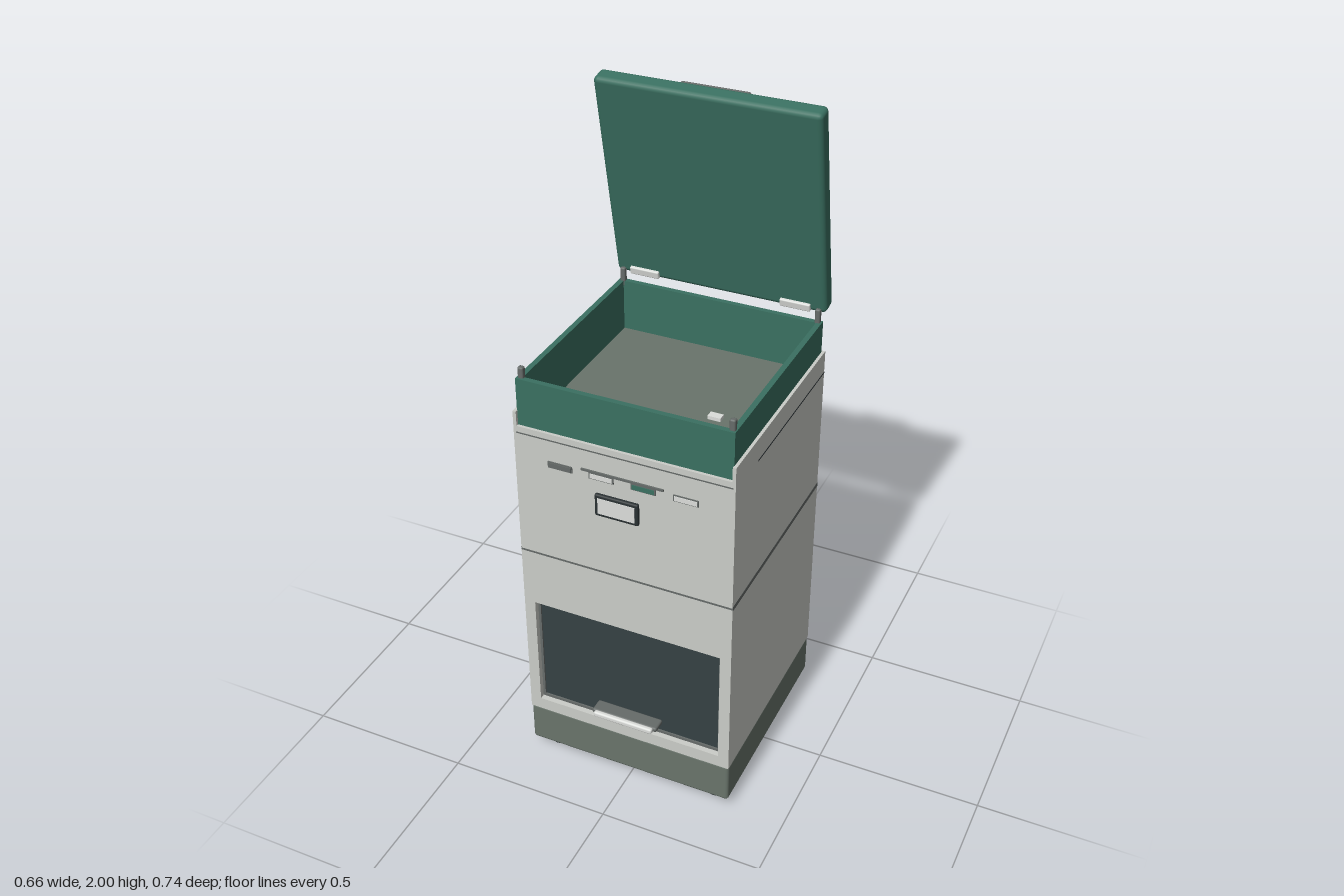
import * as THREE from 'three';
import { RoundedBoxGeometry } from 'three/addons/geometries/RoundedBoxGeometry.js';

const mat = (name, color) => {
  const m = new THREE.MeshStandardMaterial({ color });
  m.name = name;
  return m;
};

export function createModel() {
  const shell = mat('light grey shell', 0xcbcdc8);
  const base = mat('grey green base', 0x69746b);
  const green = mat('lid green', 0x3a7061);
  const glass = mat('dark glass', 0x354144);
  const grey = mat('mid grey', 0x666b69);
  const dark = mat('near black', 0x2a3133);
  const white = mat('off white', 0xdcdedb);

  const root = new THREE.Group();
  root.name = 'binCabinet';

  const add = (name, geo, material, x, y, z, parent = root) => {
    const mesh = new THREE.Mesh(geo, material);
    mesh.name = name;
    mesh.position.set(x, y, z);
    parent.add(mesh);
    return mesh;
  };
  const box = (name, material, w, h, d, x, y, z, parent) =>
    add(name, new THREE.BoxGeometry(w, h, d), material, x, y, z, parent);
  const soft = (name, material, w, h, d, r, x, y, z, parent) =>
    add(name, new RoundedBoxGeometry(w, h, d, 2, r), material, x, y, z, parent);
  // Rectangular frame: outer w x h with a w2 x h2 hole centred at (0, oy)
  const frame = (w, h, w2, h2, oy, depth) => {
    const rect = (P, a, b, y) => {
      const p = new P();
      p.moveTo(-a / 2, y - b / 2);
      p.lineTo(a / 2, y - b / 2);
      p.lineTo(a / 2, y + b / 2);
      p.lineTo(-a / 2, y + b / 2);
      p.closePath();
      return p;
    };
    const s = rect(THREE.Shape, w, h, 0);
    s.holes.push(rect(THREE.Path, w2, h2, oy));
    return new THREE.ExtrudeGeometry(s, { depth, bevelEnabled: false });
  };

  // Base and feet
  soft('base', base, 0.654, 0.135, 0.654, 0.01, 0, 0.1025, 0);
  box('underside', dark, 0.62, 0.004, 0.62, 0, 0.034, 0);
  for (const x of [-1, 1]) for (const z of [-1, 1]) {
    add('foot', new THREE.CylinderGeometry(0.03, 0.027, 0.04, 24), dark, x * 0.265, 0.02, z * 0.265);
  }

  // Vent on the right side of the base
  box('ventPlate', dark, 0.004, 0.075, 0.185, -0.328, 0.11, -0.083);
  for (let i = 0; i < 5; i++) {
    box('ventSlat', grey, 0.004, 0.005, 0.175, -0.330, 0.082 + i * 0.014, -0.083);
  }

  // Cabinet body, raised side and back walls, front panel with an opening
  box('body', shell, 0.65, 0.99, 0.62, 0, 0.665, -0.015);
  for (const x of [-1, 1]) box('sideWall', shell, 0.01, 1.065, 0.654, x * 0.322, 0.6975, 0);
  box('backWall', shell, 0.654, 1.065, 0.01, 0, 0.6975, -0.322);
  const py = 0.675;
  add('frontPanel', frame(0.636, 1.02, 0.586, 0.375, 0.3925 - py, 0.032), shell, 0, py, 0.295);

  // Recessed door with frame and handle
  box('doorGlass', glass, 0.58, 0.37, 0.006, 0, 0.3925, 0.302);
  add('doorFrame', frame(0.586, 0.375, 0.57, 0.362, 0.002, 0.01), grey, 0, 0.3925, 0.3);
  soft('handleMount', grey, 0.21, 0.016, 0.046, 0.006, 0, 0.247, 0.327);
  soft('handleBar', white, 0.19, 0.018, 0.016, 0.006, 0, 0.247, 0.355);

  // Seams around the cabinet
  for (const x of [-1, 1]) {
    box('sideSeam', grey, 0.001, 0.014, 0.654, x * 0.3272, 0.767, 0);
    box('upperSeam', dark, 0.001, 0.004, 0.5, x * 0.3272, 1.16, -0.077);
  }
  box('frontSeam', grey, 0.654, 0.006, 0.001, 0, 0.767, 0.3272);
  box('backSeam', grey, 0.33, 0.006, 0.001, -0.16, 0.767, -0.3272);
  box('frontUpperSeam', grey, 0.64, 0.004, 0.001, 0, 1.165, 0.3272);

  // Control strip: ledge, four buttons and a display standing off the front
  box('ledge', grey, 0.245, 0.006, 0.006, 0, 1.102, 0.329);
  [grey, white, green, white].forEach((m, i) => {
    const x = -0.1875 + i * 0.125;
    box('buttonRim', grey, 0.074, 0.02, 0.004, x, 1.088, 0.328);
    box('button', m, 0.066, 0.014, 0.004, x, 1.088, 0.330);
  });
  soft('display', dark, 0.13, 0.07, 0.013, 0.005, 0, 1.025, 0.361);
  box('displayScreen', white, 0.11, 0.05, 0.002, 0, 1.025, 0.368);

  // Green collar, inner floor
  const collar = add('collar', frame(0.636, 0.636, 0.604, 0.604, 0, 0.16), green, 0, 1.17, 0);
  collar.rotation.x = -Math.PI / 2;
  box('innerFloor', base, 0.606, 0.008, 0.606, 0, 1.168, 0);

  // Corner pins, latch and hinge posts on the rim
  for (const x of [-1, 1]) {
    soft('cornerPin', grey, 0.017, 0.05, 0.017, 0.005, x * 0.306, 1.337, 0.303);
    soft('hingePost', grey, 0.016, 0.06, 0.016, 0.005, x * 0.305, 1.342, -0.309);
  }
  box('latchPlate', white, 0.036, 0.01, 0.022, 0.253, 1.348, 0.294);

  // Open lid, leaning forward from its rear hinge
  const lid = new THREE.Group();
  lid.name = 'lid';
  lid.position.set(0, 1.6775, -0.2775);
  lid.rotation.x = 0.2;
  root.add(lid);
  soft('lidPanel', green, 0.654, 0.647, 0.056, 0.014, 0, 0, 0, lid);
  soft('lidPlate', grey, 0.186, 0.15, 0.04, 0.007, 0, 0.03, -0.034, lid);
  soft('lidGrip', grey, 0.204, 0.036, 0.035, 0.007, 0, 0.29, -0.036, lid);
  for (const x of [-1, 1]) {
    soft('hingeLeaf', white, 0.092, 0.024, 0.014, 0.004, x * 0.235, -0.308, 0.03, lid);
  }
  return root;
}
